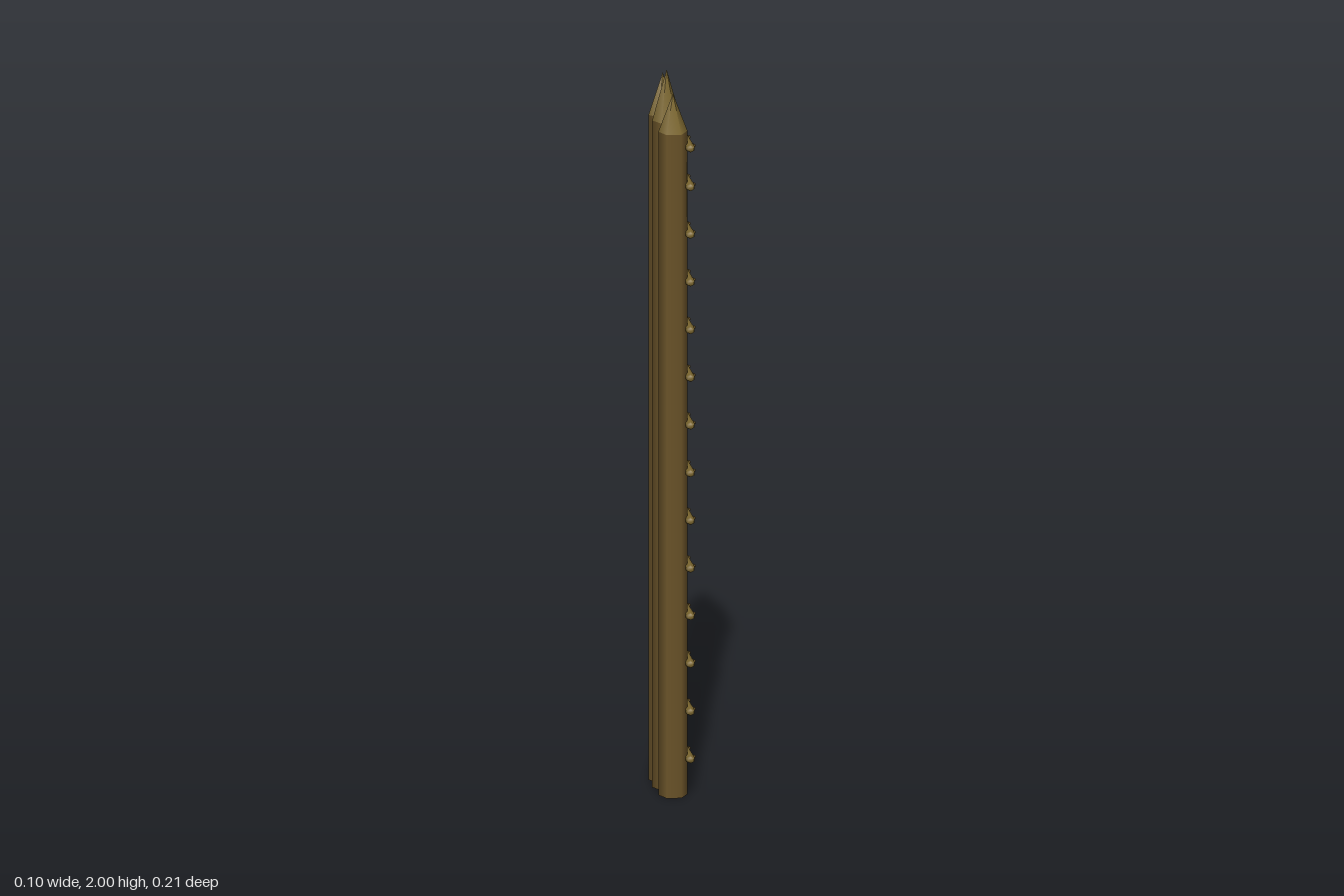
import * as THREE from 'three';

const barkBrown = new THREE.MeshStandardMaterial({ color: 0x6b5429 });
barkBrown.name = 'barkBrown';
const cutWood = new THREE.MeshStandardMaterial({ color: 0x7d6830 });
cutWood.name = 'cutWood';

function part(name, geometry, material, x, y, z) {
  const mesh = new THREE.Mesh(geometry, material);
  mesh.name = name;
  mesh.position.set(x, y, z);
  return mesh;
}

export function createModel() {
  const model = new THREE.Group();
  model.name = 'palisade';

  // Three sharpened stakes side by side: x, z, shoulder height, tip height, turn
  const stakes = [
    [-0.012, -0.073, 1.855, 1.97, 0.08],
    [-0.014, -0.003, 1.86, 2.0, 0],
    [-0.01, 0.07, 1.85, 1.955, -0.08],
  ];
  for (const [x, z, shoulder, tip, turn] of stakes) {
    const stake = new THREE.Group();
    stake.name = 'stake';
    stake.position.set(x, 0, z);
    stake.rotation.y = Math.PI / 6 + turn;
    stake.add(part('pole', new THREE.CylinderGeometry(0.039, 0.039, shoulder, 6), barkBrown, 0, shoulder / 2, 0));
    const h = tip - shoulder;
    stake.add(part('point', new THREE.ConeGeometry(0.039, h, 6), cutWood, 0, shoulder + h / 2, 0));
    model.add(stake);
  }

  // Rungs across the left side, each with rounded ends and three pegs
  const profile = [[0, -0.105], [0.009, -0.105], [0.0125, -0.097], [0.0125, 0.095], [0.009, 0.103], [0, 0.103]]
    .map(([r, l]) => new THREE.Vector2(r, l));
  const rungGeometry = new THREE.LatheGeometry(profile, 6);
  rungGeometry.scale(1, 1, 0.85);
  rungGeometry.rotateX(Math.PI / 2);
  const pegGeometry = new THREE.CylinderGeometry(0.003, 0.007, 0.008, 6);
  pegGeometry.rotateZ(-Math.PI / 2);
  for (let i = 0; i < 14; i++) {
    const rung = new THREE.Group();
    rung.name = 'rung';
    rung.position.set(0.033, i === 13 ? 1.807 : 0.103 + i * 0.133, 0);
    rung.add(part('bar', rungGeometry, cutWood, 0, 0, 0));
    for (const z of [-0.073, -0.006, 0.07]) rung.add(part('peg', pegGeometry, barkBrown, 0.0135, 0, z));
    model.add(rung);
  }
  return model;
}
